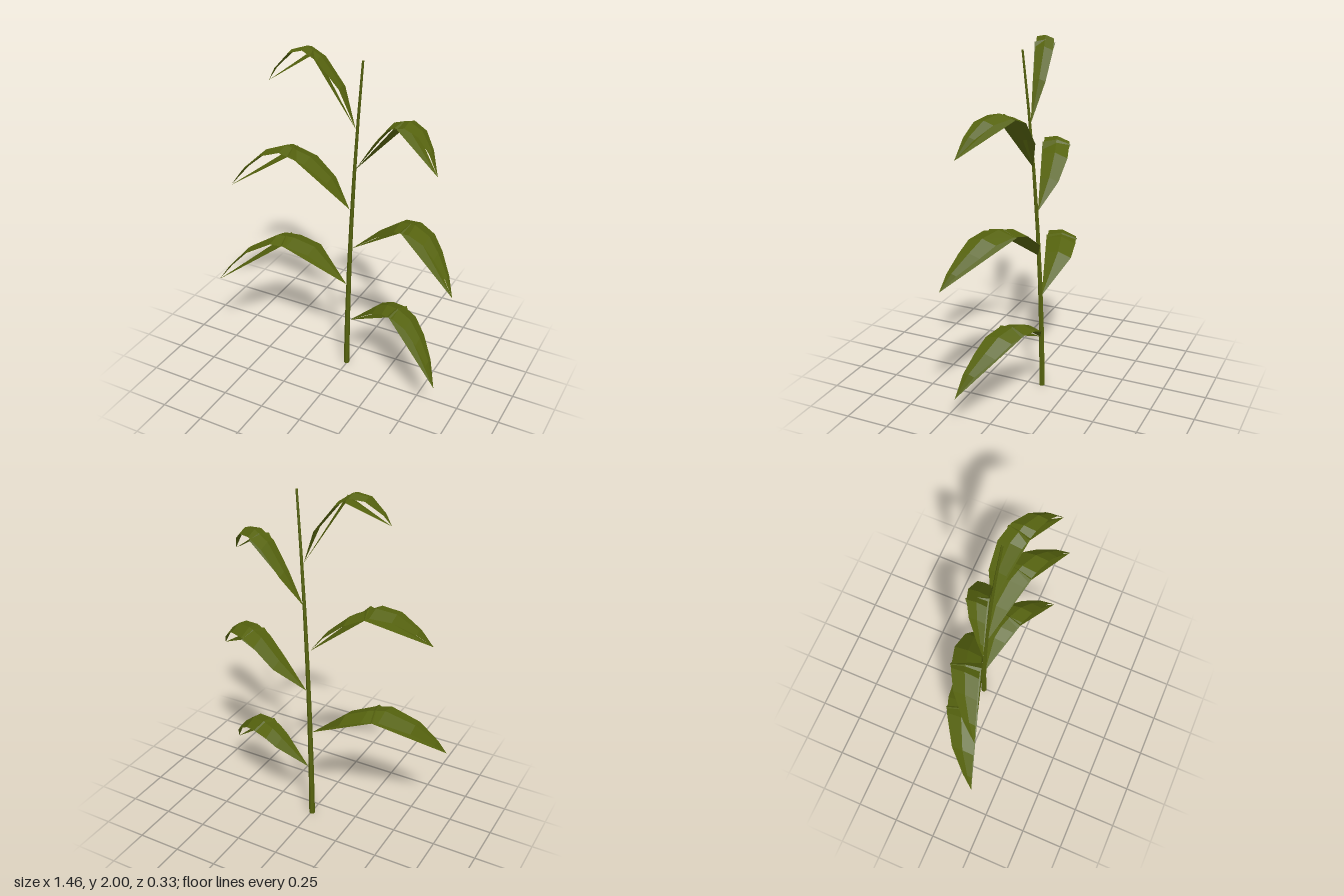
import * as THREE from 'three';

const HEIGHT = 1.97;
// gentle lean of the stalk, as an offset at height y
const stalkX = (y) => { const t = y / HEIGHT; return -0.005 + 0.02 * t + 0.1 * t * t; };
const stalkZ = (y) => { const t = y / HEIGHT; return -0.088 + 0.065 * t * t; };

// surface through cross-section rows of three points: front edge, midrib, back edge
function ribbon(rows, side) {
  const index = [];
  for (let i = 0; i < rows.length - 1; i++) {
    for (let j = 0; j < 2; j++) {
      const a = i * 3 + j, b = a + 1, c = a + 3, d = a + 4;
      if (side > 0) index.push(a, c, b, b, c, d);
      else index.push(a, b, c, b, d, c);
    }
  }
  const geometry = new THREE.BufferGeometry();
  geometry.setAttribute('position', new THREE.Float32BufferAttribute(rows.flat(2), 3));
  geometry.setIndex(index);
  geometry.computeVertexNormals();
  return geometry;
}

// midrib [x, y] from stalk to tip, z of the tip, and the fold point of the lower blade
const LEAVES = [
  { tipZ: 0.13, fold: [0.335, 0.525], rib: [[0.02, 0.325], [0.19, 0.475], [0.26, 0.51], [0.34, 0.52], [0.43, 0.5], [0.51, 0.43], [0.59, 0.335], [0.65, 0.205]] },
  { tipZ: 0.155, fold: [0.4, 1.105], rib: [[0.035, 0.83], [0.2, 0.985], [0.33, 1.085], [0.43, 1.11], [0.53, 1.09], [0.6, 1.03], [0.68, 0.94], [0.73, 0.85]] },
  { tipZ: 0.12, fold: [0.345, 1.69], rib: [[0.06, 1.34], [0.17, 1.52], [0.28, 1.66], [0.38, 1.7], [0.47, 1.68], [0.54, 1.61], [0.6, 1.5]] },
  { tipZ: 0.155, fold: [-0.38, 0.815], rib: [[-0.005, 0.57], [-0.22, 0.76], [-0.34, 0.805], [-0.43, 0.815], [-0.58, 0.73], [-0.68, 0.61], [-0.73, 0.525]] },
  { tipZ: 0.14, fold: [-0.31, 1.4], rib: [[0.02, 1.08], [-0.1, 1.24], [-0.22, 1.35], [-0.35, 1.41], [-0.45, 1.38], [-0.55, 1.28], [-0.615, 1.175]] },
  { tipZ: 0.09, fold: [-0.17, 1.98], rib: [[0.065, 1.58], [-0.02, 1.8], [-0.13, 1.95], [-0.2, 2.0], [-0.27, 1.98], [-0.34, 1.89], [-0.37, 1.82]] },
];

function makeLeaf({ rib, fold, tipZ }, material) {
  const leaf = new THREE.Group();
  const base = rib[0], tip = rib[rib.length - 1];
  const side = Math.sign(tip[0] - base[0]);
  const baseZ = stalkZ(base[1]);
  const reach = tipZ - baseZ;

  // one cross-section: sweeps forward along the leaf and droops at both edges
  const section = ([x, y], skew = 0) => {
    const f = (x - base[0]) / (tip[0] - base[0]);
    const w = 0.75 * reach * (1 - Math.abs(2 * f - 1) ** 2.5);
    const front = baseZ + reach * f;
    const drop = w * 0.11;
    return [
      [x - skew * side, y - drop, front],
      [x, y, front - w * 0.5],
      [x + skew * side, y - drop * 1.5, front - w],
    ];
  };

  const upper = new THREE.Mesh(ribbon(rib.map((p) => section(p)), side), material);
  upper.name = 'archedBlade';
  // straight-sided blade beneath the arch, folded once
  const lower = new THREE.Mesh(ribbon([section(base), section(fold, 0.02), section(tip)], side), material);
  lower.name = 'foldedBlade';
  leaf.add(upper, lower);
  return leaf;
}

export function createModel() {
  const plant = new THREE.Group();
  plant.name = 'cornPlant';
  const green = new THREE.MeshStandardMaterial({ color: 0x55620e, flatShading: true, side: THREE.DoubleSide });
  green.name = 'olive green';

  // tapered, bent stalk
  const geometry = new THREE.CylinderGeometry(0.006, 0.017, HEIGHT, 6, 6);
  geometry.translate(0, HEIGHT / 2, 0);
  const p = geometry.attributes.position;
  for (let i = 0; i < p.count; i++) {
    const y = p.getY(i);
    p.setXYZ(i, p.getX(i) + stalkX(y), y, p.getZ(i) + stalkZ(y));
  }
  geometry.computeVertexNormals();
  const stalk = new THREE.Mesh(geometry, green);
  stalk.name = 'stalk';
  plant.add(stalk);

  // three leaves on each side
  LEAVES.forEach((spec, i) => {
    const leaf = makeLeaf(spec, green);
    leaf.name = (i < 3 ? 'leftLeaf' : 'rightLeaf') + (i % 3 + 1);
    plant.add(leaf);
  });
  return plant;
}
